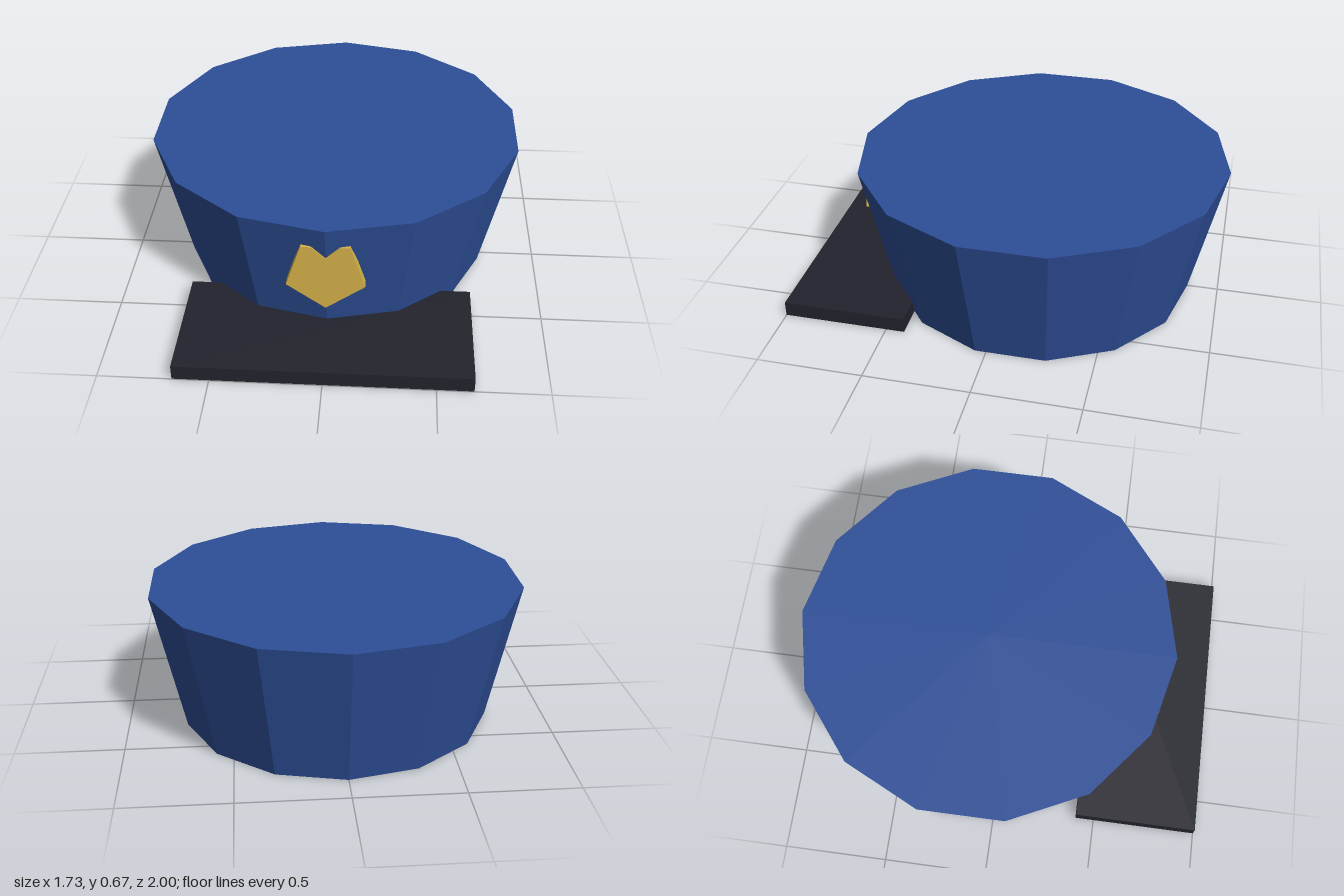
import * as THREE from 'three';

const mat = (name, color, flatShading = true) => {
  const m = new THREE.MeshStandardMaterial({ color, flatShading });
  m.name = name;
  return m;
};

export function createModel() {
  const group = new THREE.Group();
  group.name = 'cap';
  const blue = mat('navyBlue', 0x2e4f98);
  const black = mat('visorBlack', 0x23232d);
  const gold = mat('badgeGold', 0xd6b34a);

  const add = (name, geometry, material, x, y, z) => {
    const mesh = new THREE.Mesh(geometry, material);
    mesh.name = name;
    mesh.position.set(x, y, z);
    group.add(mesh);
  };

  // Flaring fourteen-sided crown, one corner facing forward
  const height = 0.667;
  add('crown', new THREE.CylinderGeometry(0.887, 0.739, height, 14), blue, 0, height / 2, -0.113);

  // Flat visor, lifted a hair so its underside does not clash with the crown
  add('visor', new THREE.BoxGeometry(1.33, 0.072, 0.59), black, 0, 0.038, 0.705);

  // Notched shield badge
  const shield = new THREE.Shape([
    [0, 0.225], [0.175, 0.352], [0.108, 0.562], [0.063, 0.56], [0, 0.5],
    [-0.063, 0.56], [-0.108, 0.562], [-0.175, 0.352],
  ].map(([x, y]) => new THREE.Vector2(x, y)));
  add('badge', new THREE.ExtrudeGeometry(shield, { depth: 0.046, bevelEnabled: false }), gold, 0, 0, 0.697);

  return group;
}
